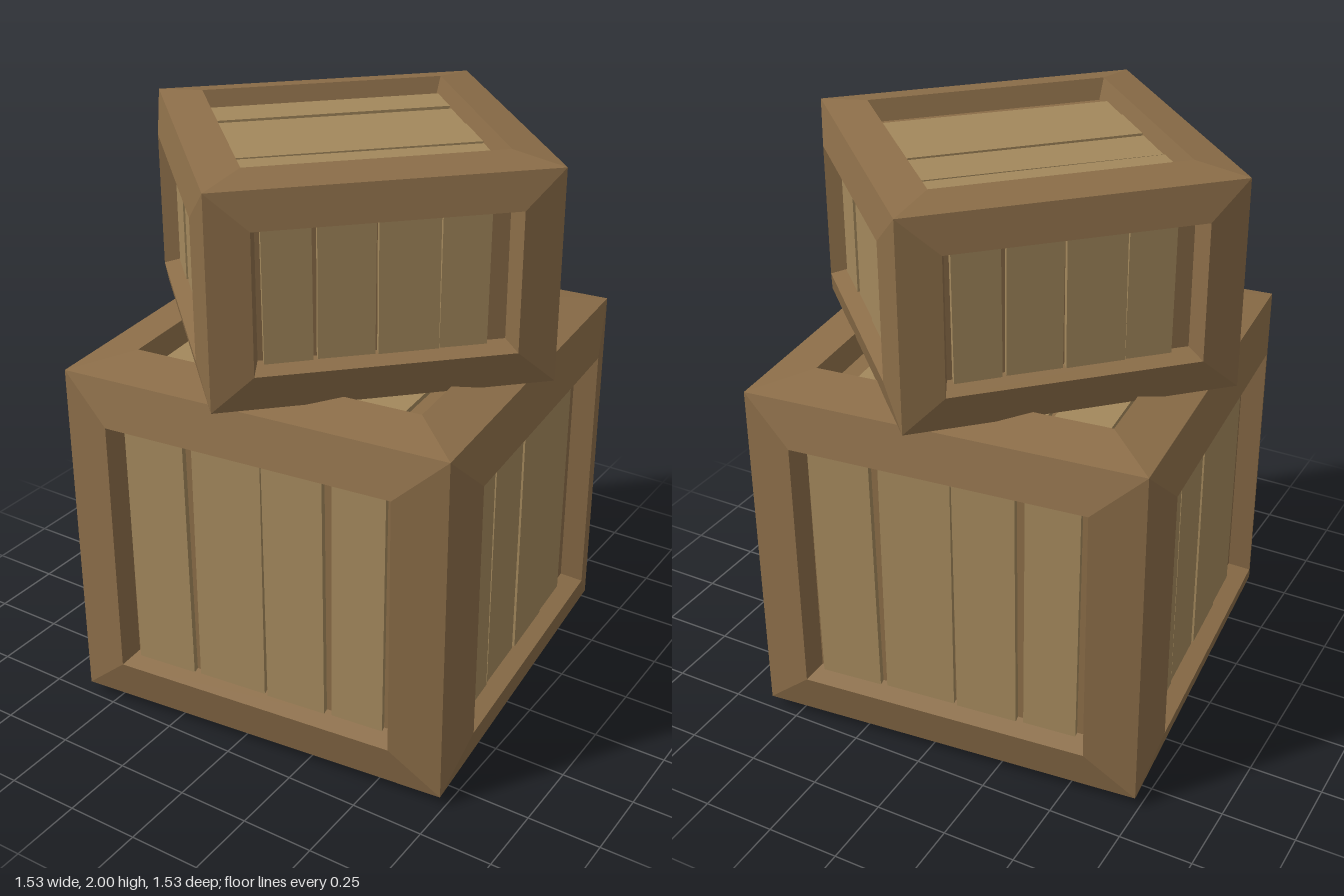
import * as THREE from 'three';

const frameMat = new THREE.MeshStandardMaterial({ color: 0x8b6d48, flatShading: true });
const plankMat = new THREE.MeshStandardMaterial({ color: 0xa3885c, flatShading: true });

// Plank edges as fractions of the recess half width
const layouts = [
  [[-0.97, -0.52], [-0.465, 0.05], [0.07, 0.51], [0.57, 0.95]],
  [[-0.96, -0.57], [-0.53, -0.07], [-0.05, 0.44], [0.45, 0.84]],
];

// Four corners of a rectangle, counter-clockwise
const loop = (w, h, z) => [[-w, -h, z], [w, -h, z], [w, h, z], [-w, h, z]];

// Rectangular loops joined into a raised rim, a sloping recess and a floor
function frameGeometry(loops) {
  const pos = [];
  const quad = (a, b, c, d) => pos.push(...a, ...b, ...c, ...a, ...c, ...d);
  for (let k = 0; k < loops.length - 1; k++) {
    for (let i = 0; i < 4; i++) {
      const j = (i + 1) % 4;
      quad(loops[k][i], loops[k][j], loops[k + 1][j], loops[k + 1][i]);
    }
  }
  quad(...loops[loops.length - 1]);
  const g = new THREE.BufferGeometry();
  g.setAttribute('position', new THREE.Float32BufferAttribute(pos, 3));
  g.computeVertexNormals();
  return g;
}

// One side of a crate, facing +z: frame with four recessed planks
function crateSide(w, h, depth, holeW, holeH, lift, recess, layout) {
  const side = new THREE.Group();
  const rim = depth + lift;
  const taper = 0.022;
  const floor = rim - recess - 0.02;
  const inW = holeW - taper, inH = holeH - taper;
  const frame = new THREE.Mesh(frameGeometry([
    loop(w, h, depth), loop(holeW, holeH, rim), loop(inW, inH, floor),
  ]), frameMat);
  frame.name = 'frame';
  side.add(frame);

  layout.forEach(([a, b], i) => {
    const plank = new THREE.Mesh(new THREE.BoxGeometry((b - a) * inW, inH * 2 + 0.01, 0.03), plankMat);
    plank.position.set((a + b) / 2 * inW, 0, rim - recess - 0.015 - (i % 2) * 0.004);
    plank.rotation.z = [0.006, -0.004, 0.003, -0.006][i];
    plank.name = 'plank';
    side.add(plank);
  });
  return side;
}

function crate({ half, height, hole, holeHeight, lift, recess }) {
  const group = new THREE.Group();
  // Four upright sides
  ['frontSide', 'leftSide', 'backSide', 'rightSide'].forEach((name, i) => {
    const s = crateSide(half, height, half, hole, holeHeight, lift, recess, layouts[i === 3 ? 1 : i % 2]);
    s.rotation.y = i * Math.PI / 2;
    s.name = name;
    group.add(s);
  });
  // Lid and base
  [['lid', -1], ['base', 1]].forEach(([name, dir]) => {
    const s = crateSide(half, half, height, hole, hole, lift, recess, layouts[1]);
    s.rotation.x = dir * Math.PI / 2;
    s.name = name;
    group.add(s);
  });
  return group;
}

export function createModel() {
  const model = new THREE.Group();
  model.name = 'stackedCrates';

  const lower = crate({ half: 0.675, height: 0.61, hole: 0.505, holeHeight: 0.457, lift: 0.038, recess: 0.055 });
  lower.name = 'lowerCrate';
  lower.position.y = 0.648;
  lower.rotation.y = 0.097;

  const upper = crate({ half: 0.541, height: 0.348, hole: 0.41, holeHeight: 0.23, lift: 0.024, recess: 0.05 });
  upper.name = 'upperCrate';
  upper.position.y = 1.628;
  upper.rotation.y = -Math.PI / 4;

  model.add(lower, upper);
  return model;
}
